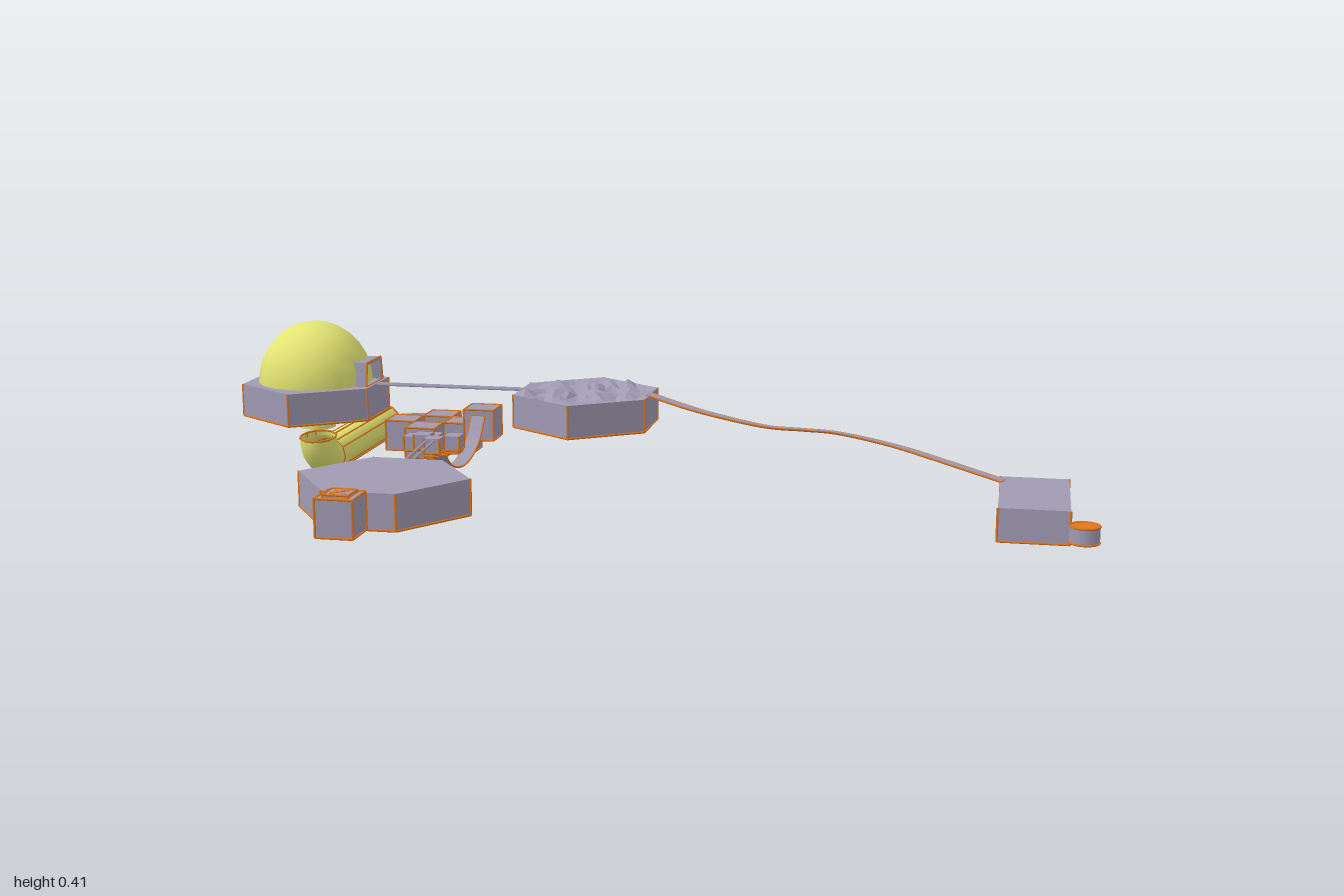
import * as THREE from 'three';
import { mergeGeometries } from 'three/addons/utils/BufferGeometryUtils.js';

const paint = (name, color) => {
  const m = new THREE.MeshStandardMaterial({ color, side: THREE.DoubleSide });
  m.name = name;
  return m;
};
const grey = paint('stone grey', 0xa09ab2);
const yellow = paint('soft yellow', 0xe4e474);
const orange = paint('trim orange', 0xe0761a);

// Triangles without shared corners, for crisp flat facets
function facets(tris) {
  const g = new THREE.BufferGeometry();
  g.setAttribute('position', new THREE.Float32BufferAttribute(tris.flat(2), 3));
  g.computeVertexNormals();
  return g;
}
const quad = (a, b, c, d) => [[a, b, c], [a, c, d]];
const points2 = list => list.map(p => new THREE.Vector2(...p));
const bar = (a, b, r, sides) => new THREE.TubeGeometry(new THREE.LineCurve3(a, b), 1, r, sides);

// Hollow platform, open underneath: outline points are [x, z], counterclockwise from above
function shell(outline, y0, y1, withTop = true) {
  const tris = [];
  outline.forEach(([x, z], i) => {
    const [u, w] = outline[(i + 1) % outline.length];
    tris.push(...quad([x, y0, z], [u, y0, w], [u, y1, w], [x, y1, z]));
    if (withTop) tris.push([[0, y1, 0], [x, y1, z], [u, y1, w]]);
  });
  return facets(tris);
}
const hexX = [[0.185, 0], [0.077, -0.155], [-0.077, -0.155], [-0.185, 0], [-0.077, 0.155], [0.077, 0.155]];
const hexZ = hexX.map(([x, z]) => [z, -x]);

// Lumpy ground inside a hexagon, pinned at the rim
function roughTop(outline, y) {
  let seed = 7;
  const rand = () => (seed = (seed * 16807) % 2147483647) / 2147483647;
  const rings = 6, per = 5, n = outline.length * per, grid = [];
  for (let r = 0; r <= rings; r++) {
    const row = [];
    for (let k = 0; k < n; k++) {
      const i = Math.floor(k / per), t = (k % per) / per, s = r / rings;
      const a = outline[i], b = outline[(i + 1) % outline.length];
      const x = (a[0] + (b[0] - a[0]) * t) * s, z = (a[1] + (b[1] - a[1]) * t) * s;
      const rough = r < rings && Math.abs(z) < 0.13;
      const lump = 0.014 * Math.sin(45 * x + 20 * z) * Math.cos(38 * z - 30 * x) - 0.005;
      row.push([x, y + (rough ? lump + (r > 1 ? rand() * 0.012 - 0.006 : 0) : 0), z]);
    }
    grid.push(row);
  }
  const tris = [];
  for (let r = 0; r < rings; r++) for (let k = 0; k < n; k++) {
    const m = (k + 1) % n;
    tris.push(...quad(grid[r][k], grid[r + 1][k], grid[r + 1][m], grid[r][m]));
  }
  return facets(tris);
}

// Flat strip following a curve, spread sideways on the ground plane
function ribbon(points, width, steps) {
  const curve = new THREE.CatmullRomCurve3(points.map(p => new THREE.Vector3(...p)));
  const edge = [];
  for (let i = 0; i <= steps; i++) {
    const p = curve.getPoint(i / steps), t = curve.getTangent(i / steps);
    const s = new THREE.Vector3(t.z, 0, -t.x).normalize().multiplyScalar(width / 2);
    edge.push([p.clone().add(s).toArray(), p.clone().sub(s).toArray()]);
  }
  const tris = [];
  for (let i = 0; i < steps; i++) tris.push(...quad(edge[i][1], edge[i + 1][1], edge[i + 1][0], edge[i][0]));
  return facets(tris);
}

export function createModel() {
  const model = new THREE.Group();
  const add = (name, geo, mat, x = 0, y = 0, z = 0) => {
    const m = new THREE.Mesh(geo, mat);
    m.name = name;
    m.position.set(x, y, z);
    model.add(m);
    return m;
  };
  const rod = (name, a, b, r, mat) => add(name, bar(new THREE.Vector3(...a), new THREE.Vector3(...b), r, 6), mat);

  // Thin orange trim along the sharp and open edges of a part
  const trim = (part, keep = () => true, drop = 0) => {
    const pos = new THREE.EdgesGeometry(part.geometry, 30).attributes.position, bars = [];
    for (let i = 0; i < pos.count; i += 2) {
      const a = new THREE.Vector3().fromBufferAttribute(pos, i);
      const b = new THREE.Vector3().fromBufferAttribute(pos, i + 1);
      if (keep(a, b)) bars.push(bar(a, b, 0.0025, 4));
    }
    const t = new THREE.Mesh(mergeGeometries(bars), orange);
    t.name = part.name + 'Trim';
    t.position.y = -drop;
    part.add(t);
  };
  const below = y => (a, b) => Math.min(a.y, b.y) < y;

  // Dome platform
  const dx = -0.845, dz = -0.158;
  trim(add('domePlatform', shell(hexZ, 0.19, 0.266), grey, dx, 0, dz), below(0.25));
  add('dome', new THREE.SphereGeometry(0.135, 16, 7, 0, Math.PI * 2, 0, Math.PI / 2), yellow, dx, 0.266, dz).scale.y = 1.07;

  // Doorway tunnel on the dome
  const door = new THREE.Shape(points2([[-0.058, 0], [0.058, 0], [0.048, 0.056], [-0.048, 0.056]]));
  door.holes.push(new THREE.Path(points2([[-0.052, 0.001], [-0.043, 0.05], [0.043, 0.05], [0.052, 0.001]])));
  const doorGeo = new THREE.ExtrudeGeometry(door, { depth: 0.04, bevelEnabled: false });
  const doorway = add('doorway', doorGeo, grey, -0.738, 0.266, dz);
  doorway.rotation.y = Math.PI / 2;
  const outer = p => p.y > 0.052 || Math.abs(p.x) > 0.055;
  trim(doorway, (a, b) => a.z > 0.03 && b.z > 0.03 && outer(a) && outer(b));

  // Pipe: drop, elbow below a gap, long run
  const r = 0.044, py = 0.069;
  add('dropPipe', new THREE.CylinderGeometry(r, r, 0.108, 12, 1, true), yellow, dx, 0.208, dz);
  const bend = [];
  for (let i = 0; i <= 6; i++) {
    const a = i / 6 * Math.PI / 2;
    bend.push(new THREE.Vector3(dx, 0.129 - 0.06 * Math.sin(a), dz - 0.06 + 0.06 * Math.cos(a)));
  }
  trim(add('pipeElbow', new THREE.TubeGeometry(new THREE.CatmullRomCurve3(bend), 8, r, 12), yellow), (a, b) => a.y > 0.12 && b.y > 0.12);
  const longPipe = add('longPipe', new THREE.CylinderGeometry(r, r, 0.422, 12, 1, true), yellow, dx, py, -0.429);
  longPipe.rotation.x = Math.PI / 2;
  trim(longPipe);
  for (const s of [-1, 1]) rod('pipeSeam', [dx, py + s * r, -0.22], [dx, py + s * r, -0.64], 0.0025, orange);

  // Half-pipe U-turn
  const trough = [];
  for (let i = 0; i <= 6; i++) {
    const a = Math.PI * (1 + i / 6);
    trough.push(new THREE.Vector2(0.084 + r * Math.cos(a), r * Math.sin(a)));
  }
  const troughGeo = new THREE.LatheGeometry(trough, 7, Math.PI / 2, Math.PI).toNonIndexed();
  troughGeo.computeVertexNormals();
  trim(add('troughBend', troughGeo, grey, -0.762, py, -0.642), (a, b) => Math.abs(a.z) < 0.001 && Math.abs(b.z) < 0.001);

  // Large stepping cubes
  const big = new THREE.BoxGeometry(0.077, 0.077, 0.077);
  [[-0.75, 0.066, -0.525], [-0.672, 0.066, -0.603], [-0.594, 0.066, -0.525], [-0.672, 0.066, -0.447], [-0.516, 0.119, -0.447]]
    .forEach(p => trim(add('largeStep', big, grey, ...p)));

  // Sagging bridge
  trim(add('saggingBridge', ribbon([[-0.517, 0.145, -0.408], [-0.517, 0.095, -0.36], [-0.517, 0.066, -0.29],
    [-0.517, 0.06, -0.22], [-0.517, 0.08, -0.13], [-0.517, 0.14, -0.05]], 0.034, 16), grey), undefined, 0.002);

  // Small stepping cubes, the first with a full trim
  const small = new THREE.BoxGeometry(0.035, 0.033, 0.035);
  [[-0.517, 0.14, -0.038], [-0.482, 0.153, -0.003], [-0.447, 0.166, 0.032], [-0.482, 0.181, 0.067],
    [-0.517, 0.184, 0.102], [-0.482, 0.196, 0.137], [-0.412, 0.196, 0.137], [-0.447, 0.196, 0.172]]
    .forEach((p, i) => trim(add('smallStep', small, grey, ...p), below(i ? 0 : 1)));

  // Twin rails to the front platform and between the two high platforms
  for (const s of [-1, 1]) {
    rod('frontRail', [-0.45 + s * 0.008, 0.208, 0.185], [-0.45 + s * 0.008, 0.198, 0.33], 0.003, grey);
    rod('highRail', [-0.695, 0.263, -0.162 + s * 0.008], [-0.325, 0.263, -0.162 + s * 0.008], 0.003, grey);
  }

  // Front platform, plank and end cube with a crossed square on top
  trim(add('frontPlatform', shell(hexX, 0.122, 0.198), grey, -0.457, 0, 0.48), below(0.18));
  add('plank', ribbon([[-0.46, 0.2, 0.633], [-0.46, 0.208, 0.66], [-0.46, 0.217, 0.69]], 0.026, 2), grey);
  trim(add('endCube', big, grey, -0.46, 0.176, 0.727));
  trim(add('endCubeCap', new THREE.BoxGeometry(0.052, 0.006, 0.052), grey, -0.46, 0.217, 0.727));
  for (const s of [-1, 1]) rod('capCross', [-0.46 - 0.015, 0.22, 0.727 - s * 0.015], [-0.46 + 0.015, 0.22, 0.727 + s * 0.015], 0.0025, orange);

  // Rough platform
  trim(add('roughPlatform', shell(hexZ, 0.19, 0.266, false), grey, -0.178, 0, -0.153), below(0.25));
  add('roughGround', roughTop(hexZ, 0.266), grey, -0.178, 0, -0.153);

  // Winding path sloping down to the low platform
  const path = [[-0.025, -0.145], [0.07, -0.12], [0.14, -0.117], [0.25, -0.14], [0.325, -0.205],
    [0.4, -0.265], [0.53, -0.29], [0.66, -0.265], [0.785, -0.23]];
  trim(add('windingPath', ribbon(path.map(([x, z]) => [x, 0.261 - 0.231 * x, z]), 0.028, 48), grey), undefined, 0.002);

  // Low platform and drum with an orange top
  trim(add('lowPlatform', shell([[0.078, 0.153], [0.078, -0.153], [-0.078, -0.153], [-0.078, 0.153]], 0.003, 0.078), grey, 0.857, 0, -0.123), below(0.06));
  trim(add('drum', new THREE.CylinderGeometry(0.033, 0.033, 0.036, 16), [grey, orange, grey], 0.964, 0.038, 0.063));

  return model;
}
